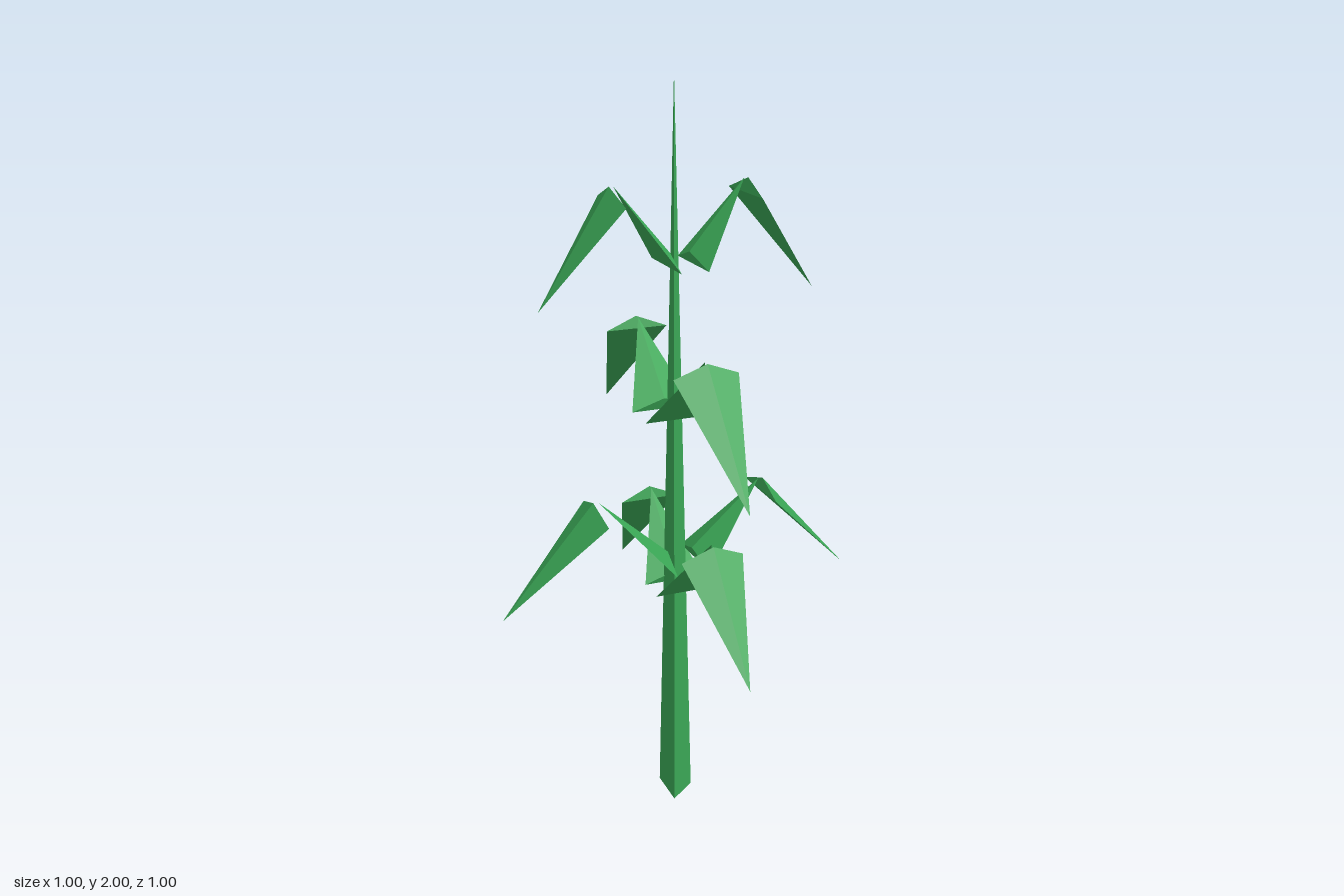
import * as THREE from 'three';

const green = new THREE.MeshStandardMaterial({ color: 0x3aa655, flatShading: true });

// Closed three-sided spike: triangular base (a, b, c) narrowing to a tip.
function spike(name, a, b, c, tip) {
  const [A, B, C, T] = [a, b, c, tip].map((p) => new THREE.Vector3(...p));
  const normal = B.clone().sub(A).cross(C.clone().sub(A));
  if (normal.dot(T.clone().sub(A)) > 0) [B, C].reverse().forEach((v, i) => { if (i === 0) v.swap = true; });
  const [P, Q] = B.swap || C.swap ? [C, B] : [B, C]; // base faces away from the tip
  const points = [A, P, Q, P, A, T, Q, P, T, A, Q, T];
  const geometry = new THREE.BufferGeometry().setFromPoints(points);
  geometry.computeVertexNormals();
  const mesh = new THREE.Mesh(geometry, green);
  mesh.name = name;
  return mesh;
}

// Leaf growing along +x: a rising inner half and a drooping outer half.
// Profile points are [distance from stem, height].
function leaf({ width, innerRidge, innerEdge, knee, outerRidge, outerEdge, tip }) {
  const group = new THREE.Group();
  const mid = ([r, y]) => [r, y, 0];
  const side = ([r, y], s) => [r, y, s * width];
  group.add(
    spike('innerLeaf', mid(innerRidge), side(innerEdge, 1), side(innerEdge, -1), mid(knee)),
    spike('outerLeaf', mid(outerRidge), side(outerEdge, 1), side(outerEdge, -1), mid(tip)),
  );
  return group;
}

export function createModel() {
  const model = new THREE.Group();
  model.name = 'plant';

  // Tapered triangular stem
  model.add(spike('stem', [0.034, 0, 0], [-0.04, 0, 0.057], [-0.04, 0, -0.057], [-0.015, 2, 0]));

  // Four tiers of opposite leaf pairs, alternating between the x and z axes
  const tiers = [
    { name: 'lowerLeaf', turn: Math.PI / 2, x: 0, width: 0.085,
      innerRidge: [0.03, 0.67], innerEdge: [0.04, 0.637], knee: [0.212, 0.846],
      outerRidge: [0.227, 0.846], outerEdge: [0.22, 0.811], tip: [0.46, 0.552] },
    { name: 'middleLeaf', turn: 0, x: 0, width: 0.102,
      innerRidge: [0.035, 0.745], innerEdge: [0.046, 0.712], knee: [0.23, 0.918],
      outerRidge: [0.243, 0.918], outerEdge: [0.236, 0.885], tip: [0.499, 0.624] },
    { name: 'upperLeaf', turn: Math.PI / 2, x: -0.028, width: 0.086,
      innerRidge: [0.037, 0.0 + 1.167], innerEdge: [0.048, 1.135], knee: [0.228, 1.338],
      outerRidge: [0.245, 1.338], outerEdge: [0.238, 1.305], tip: [0.499, 1.04] },
    { name: 'topLeaf', turn: 0, x: 0, width: 0.102,
      innerRidge: [0.026, 1.558], innerEdge: [0.036, 1.526], knee: [0.174, 1.733],
      outerRidge: [0.185, 1.733], outerEdge: [0.178, 1.696], tip: [0.374, 1.438] },
  ];
  for (const tier of tiers) {
    for (const half of [0, Math.PI]) {
      const pair = leaf(tier);
      pair.name = tier.name;
      pair.rotation.y = tier.turn + half;
      pair.position.x = tier.x;
      model.add(pair);
    }
  }
  return model;
}
